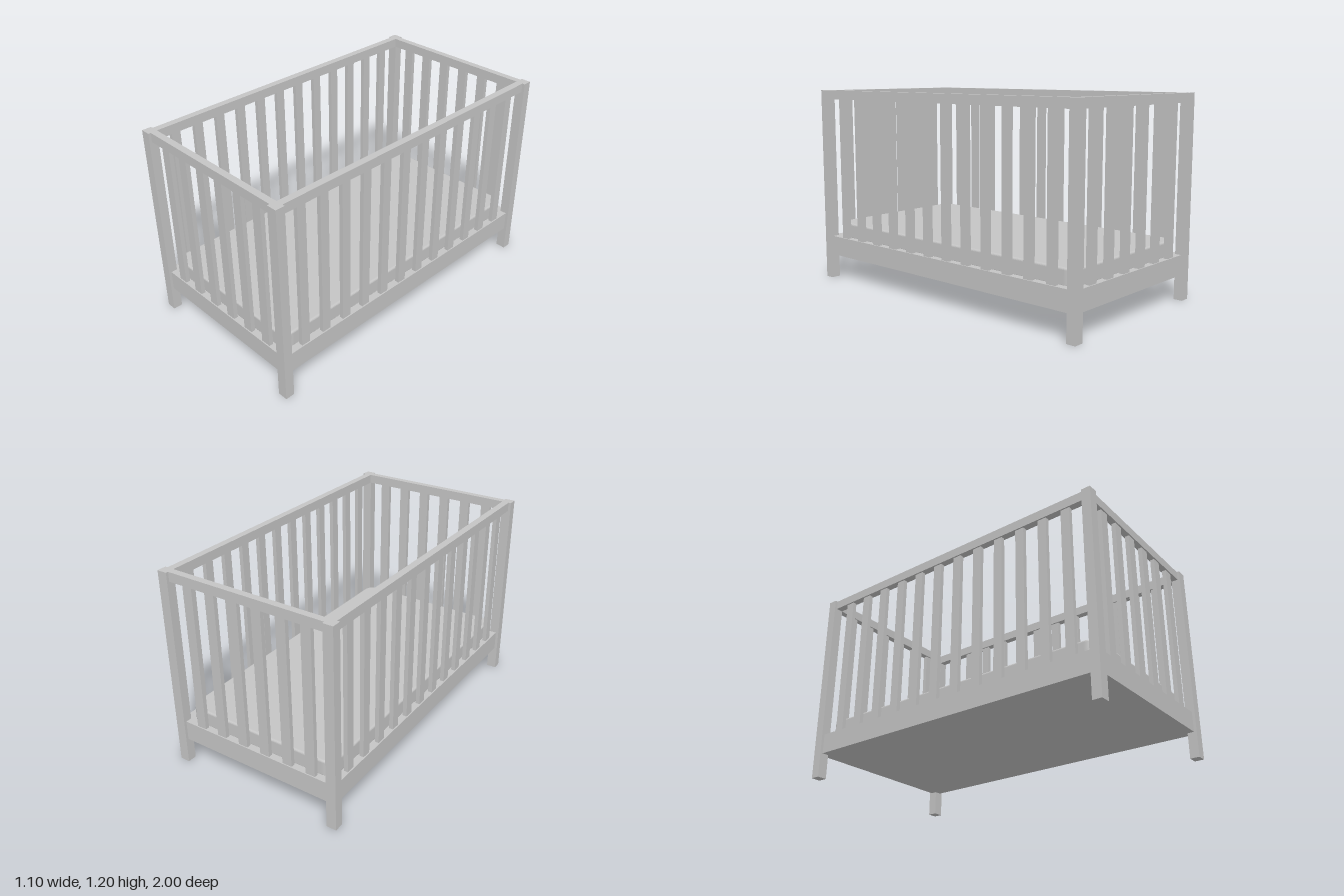
import * as THREE from 'three';

export function createModel() {
  const crib = new THREE.Group();
  crib.name = 'crib';
  const paint = new THREE.MeshStandardMaterial({ color: 0xc4c4c4 });
  paint.name = 'light grey';

  const add = (name, geometry, x, y, z) => {
    const mesh = new THREE.Mesh(geometry, paint);
    mesh.name = name;
    mesh.position.set(x, y, z);
    crib.add(mesh);
  };
  const box = (name, w, h, d, x, y, z) => add(name, new THREE.BoxGeometry(w, h, d), x, y, z);

  const railX = 0.512, railZ = 0.965; // centre lines of the four walls
  const railY = 1.1725, slatY = 0.7075, slatH = 0.875;

  // Corner posts
  for (const sx of [-1, 1]) for (const sz of [-1, 1])
    box('post', 0.06, 1.2, 0.055, sx * 0.519, 0.6, sz * 0.9725);

  // Solid base carrying the mattress
  box('base', 1.064, 0.12, 1.968, 0, 0.21, 0);

  for (const s of [-1, 1]) {
    // Long side walls
    box('sideTopRail', 0.042, 0.055, 1.9, s * railX, railY, 0);
    for (let i = 0; i < 12; i++)
      box('sideSlat', 0.025, slatH, 0.055, s * railX, slatY, (i - 5.5) * 0.15);
    // Short end walls
    box('endTopRail', 0.98, 0.055, 0.04, 0, railY, s * railZ);
    for (let i = 0; i < 6; i++)
      box('endSlat', 0.06, slatH, 0.025, (i - 2.5) * 0.15, slatY, s * railZ);
  }

  // Mattress with rounded corners and softened edges
  const bevel = 0.012, w = 0.487 - bevel, l = 0.942 - bevel, r = 0.055;
  const outline = new THREE.Shape();
  outline.absarc(w - r, l - r, r, 0, Math.PI / 2);
  outline.absarc(r - w, l - r, r, Math.PI / 2, Math.PI);
  outline.absarc(r - w, r - l, r, Math.PI, Math.PI * 1.5);
  outline.absarc(w - r, r - l, r, Math.PI * 1.5, Math.PI * 2);
  outline.closePath();
  const mattress = new THREE.ExtrudeGeometry(outline, {
    depth: 0.1 - 2 * bevel, bevelEnabled: true, bevelSize: bevel,
    bevelThickness: bevel, bevelSegments: 4, curveSegments: 10,
  });
  mattress.rotateX(-Math.PI / 2);
  add('mattress', mattress, 0, 0.26 + bevel, 0);

  return crib;
}
